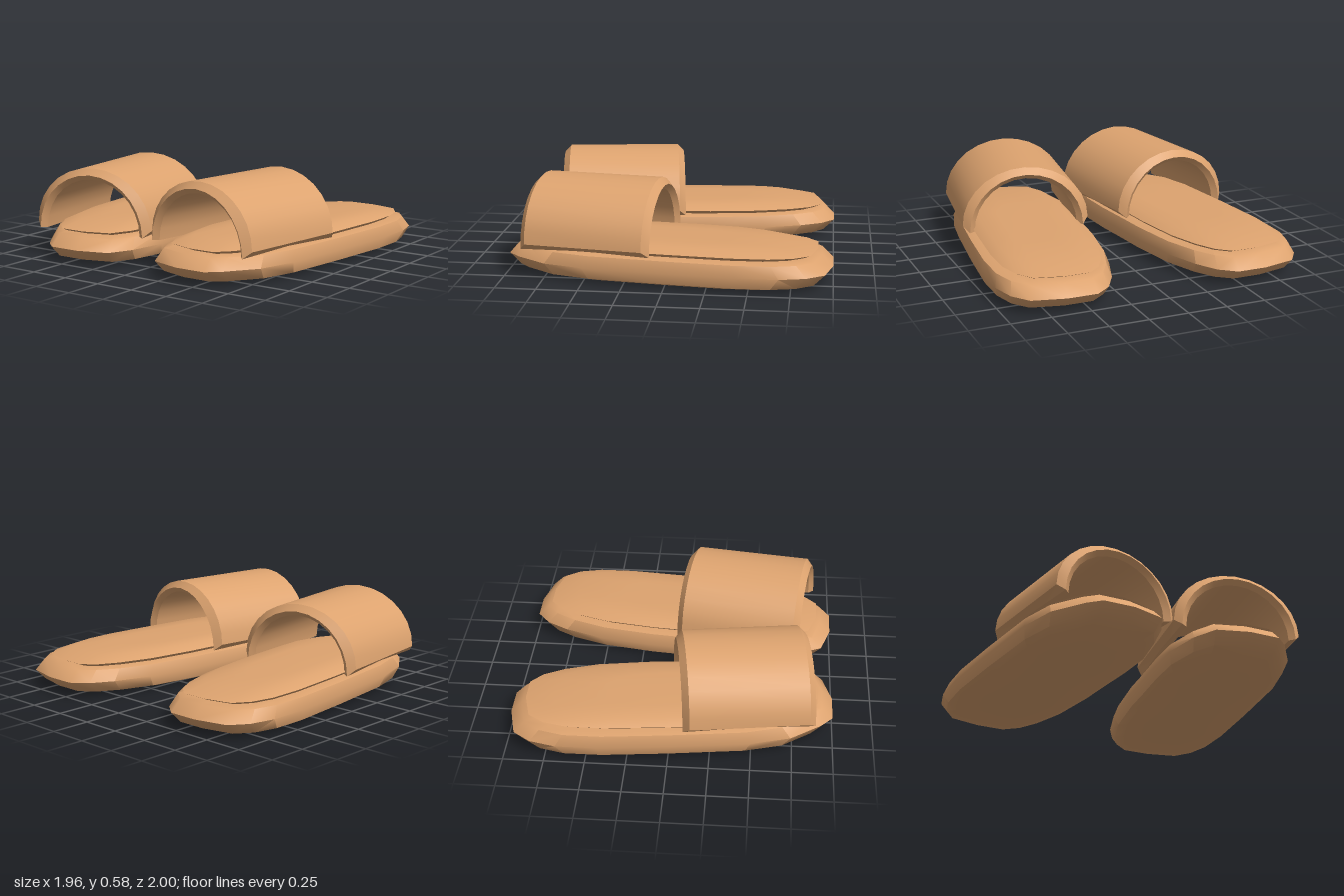
import * as THREE from 'three';
import { toCreasedNormals } from 'three/addons/utils/BufferGeometryUtils.js';

const leather = new THREE.MeshStandardMaterial({ color: 0xdda36f });
leather.name = 'tan leather';

// sole outline [x, z] of the left slipper, from heel round the outer side to the toe and back
const outline = [
  [0.46, -1], [0.65, -1], [0.86, -0.95], [0.94, -0.84], [0.98, -0.68], [0.98, -0.43],
  [0.935, 0], [0.87, 0.5], [0.8, 0.74], [0.66, 0.93], [0.58, 1], [0.38, 1],
  [0.18, 0.94], [0.11, 0.79], [0.07, 0.55], [0.085, 0.3], [0.12, 0],
  [0.14, -0.2], [0.2, -0.55], [0.28, -0.78], [0.36, -0.92],
];
const CENTRE_X = 0.53;

// joins equal-length rings of points into a closed skin with fan caps
function loft(rings, crease, flip = false) {
  const pos = [];
  const tri = (a, b, c) => pos.push(...a, ...(flip ? c : b), ...(flip ? b : c));
  const n = rings[0].length;
  const centre = (ring) => [0, 1, 2].map((k) => ring.reduce((s, p) => s + p[k], 0) / n);
  const first = rings[0], last = rings[rings.length - 1];
  const c0 = centre(first), c1 = centre(last);
  for (let j = 0; j < n; j++) {
    const k = (j + 1) % n;
    for (let i = 0; i < rings.length - 1; i++) {
      const lo = rings[i], up = rings[i + 1];
      tri(lo[j], up[j], up[k]);
      tri(lo[j], up[k], lo[k]);
    }
    tri(c0, first[j], first[k]);
    tri(c1, last[k], last[j]);
  }
  const geo = new THREE.BufferGeometry();
  geo.setAttribute('position', new THREE.Float32BufferAttribute(pos, 3));
  return toCreasedNormals(geo, crease);
}

// stacked layers: [height, scale across, scale along]
function layered(layers, side) {
  const rings = layers.map(([y, sx, sz]) =>
    outline.map(([x, z]) => [side * (CENTRE_X + (x - CENTRE_X) * sx), y, z * sz]));
  return loft(rings, 0.85, side < 0);
}

// bevelled arch swept over the foot
function strapGeometry() {
  // band section: [z, half width, height, base y]
  const section = [
    [-0.365, 0.41, 0.36, 0.22], [0.365, 0.41, 0.36, 0.22],
    [0.405, 0.37, 0.36, 0.18], [0.375, 0.335, 0.33, 0.18],
    [-0.375, 0.335, 0.33, 0.18], [-0.405, 0.37, 0.36, 0.18],
  ];
  const rings = [];
  const steps = 14;
  for (let i = 0; i <= steps; i++) {
    const t = (Math.PI * i) / steps;
    rings.push(section.map(([z, w, h, y]) => [w * Math.cos(t), y + h * Math.sin(t), z]));
  }
  return loft(rings, 0.5);
}

function slipper(side) {
  const group = new THREE.Group();
  group.name = side > 0 ? 'leftSlipper' : 'rightSlipper';
  const add = (name, geo) => {
    const mesh = new THREE.Mesh(geo, leather);
    mesh.name = name;
    group.add(mesh);
    return mesh;
  };

  // thick rounded sole
  add('sole', layered([
    [0, 0.6, 0.6], [0.01, 0.82, 0.8], [0.03, 0.945, 0.93], [0.1, 1, 1],
    [0.17, 0.945, 0.93], [0.18, 0.85, 0.86],
  ], side));

  // thin cushioned footbed
  add('insole', layered([
    [0.176, 0.78, 0.85], [0.2, 0.845, 0.905], [0.232, 0.7, 0.73], [0.238, 0.4, 0.4],
  ], side));

  // strap, turned with the toe-in of the foot
  const strap = add('strap', strapGeometry());
  strap.position.set(side * 0.4625, 0, 0.435);
  strap.rotation.y = -side * 0.145;
  return group;
}

export function createModel() {
  const model = new THREE.Group();
  model.name = 'slippers';
  model.add(slipper(1), slipper(-1));
  return model;
}
